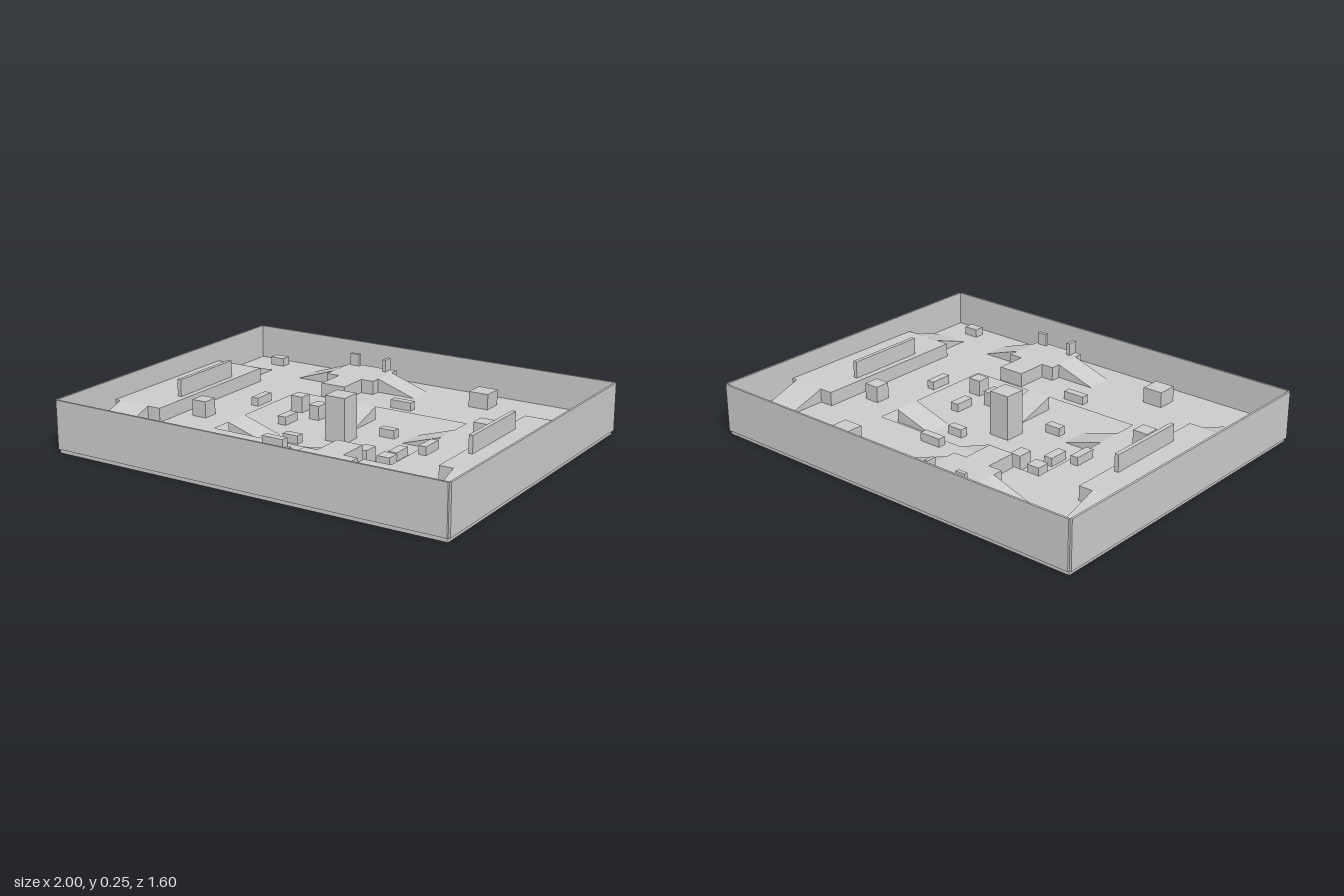
import * as THREE from 'three';

const PIT = 0.02, FLOOR = 0.083, DECK = 0.15; // heights of the three levels
const RUN = 0.2; // length of every ramp
const material = new THREE.MeshStandardMaterial({ color: 0xcccccc, flatShading: true });

function add(parent, name, geometry) {
  const mesh = new THREE.Mesh(geometry, material);
  mesh.name = name;
  parent.add(mesh);
  return mesh;
}

// Box given by its centre on the ground plan, its plan size and its bottom and top
function block(parent, name, x, z, w, d, y0, y1) {
  add(parent, name, new THREE.BoxGeometry(w, y1 - y0, d)).position.set(x, (y0 + y1) / 2, z);
}

// Wedge with its high edge at (x, z), going down along +x turned by angle
function ramp(parent, name, x, z, width, y0, y1, angle) {
  const side = new THREE.Shape();
  side.moveTo(0, 0).lineTo(RUN, 0).lineTo(0, y1 - y0).closePath();
  const geometry = new THREE.ExtrudeGeometry(side, { depth: width, bevelEnabled: false });
  geometry.translate(0, 0, -width / 2);
  const mesh = add(parent, name, geometry);
  mesh.position.set(x, y0, z);
  mesh.rotation.y = angle;
}

// Flat outline on the ground plan raised from y0 to y1
function slab(parent, name, points, y0, y1, hole) {
  const toVectors = (list) => list.map(([x, z]) => new THREE.Vector2(x, -z));
  const shape = new THREE.Shape(toVectors(points));
  if (hole) shape.holes.push(new THREE.Path(toVectors(hole)));
  const geometry = new THREE.ExtrudeGeometry(shape, { depth: y1 - y0, bevelEnabled: false });
  geometry.rotateX(-Math.PI / 2);
  add(parent, name, geometry).position.y = y0;
}

const rectangle = (x, z) => [[-x, -z], [x, -z], [x, z], [-x, z]];

// One half of the arena; the other half is the same turned by 180 degrees
function createHalf() {
  const half = new THREE.Group();

  // Outer walls
  block(half, 'backWall', 0, -0.795, 1.98, 0.01, PIT, 0.25);
  block(half, 'sideWall', -0.995, 0, 0.01, 1.58, PIT, 0.25);

  // Raised side deck with a ramp at each end and a screen wall
  block(half, 'sideDeck', -0.86, 0, 0.26, 0.8, FLOOR, DECK);
  for (const s of [-1, 1]) ramp(half, 'sideDeckRamp', -0.88, 0.4 * s, 0.165, FLOOR, DECK, -s * Math.PI / 2);
  block(half, 'screenWall', -0.77, 0, 0.02, 0.4, DECK, 0.232);

  // Lookout deck with a narrow arm to the pit, two ramps and small barriers
  slab(half, 'lookoutDeck', [
    [-0.4, -0.725], [-0.135, -0.725], [-0.135, -0.5], [-0.2, -0.5],
    [-0.2, -0.345], [-0.33, -0.345], [-0.33, -0.5], [-0.4, -0.5],
  ], FLOOR, DECK);
  ramp(half, 'lookoutRamp', -0.135, -0.615, 0.13, FLOOR, DECK, 0);
  ramp(half, 'lookoutRamp', -0.4, -0.615, 0.13, FLOOR, DECK, Math.PI);
  block(half, 'lookoutBarrier', -0.36, -0.705, 0.05, 0.018, DECK, 0.21);
  block(half, 'lookoutBarrier', -0.178, -0.7, 0.018, 0.05, DECK, 0.21);

  // Ramps down into the pit
  ramp(half, 'pitRamp', -0.085, -0.335, 0.13, PIT, FLOOR, -Math.PI / 2);
  ramp(half, 'pitRamp', -0.465, 0.165, 0.13, PIT, FLOOR, 0);

  // Crates and low cover: x, z, width, depth, ground, height
  const cover = [
    [-0.405, -0.27, 0.065, 0.065, PIT, 0.078],
    [-0.265, -0.215, 0.055, 0.075, PIT, 0.07],
    [-0.35, -0.082, 0.045, 0.1, PIT, 0.04],
    [0.165, -0.15, 0.08, 0.04, PIT, 0.04],
    [-0.513, -0.1, 0.038, 0.11, FLOOR, 0.04],
    [0.1, -0.385, 0.11, 0.038, FLOOR, 0.04],
    [0.63, -0.198, 0.075, 0.075, FLOOR, 0.078],
    [0.4, -0.627, 0.1, 0.1, FLOOR, 0.075],
    [-0.827, -0.712, 0.075, 0.05, FLOOR, 0.04],
  ];
  for (const [x, z, w, d, y, h] of cover) block(half, 'cover', x, z, w, d, y, y + h);
  return half;
}

export function createModel() {
  const arena = new THREE.Group();
  arena.name = 'arena';

  // Base plate, main floor around the sunken pit, central pillar
  block(arena, 'basePlate', 0, 0, 1.98, 1.58, 0, PIT);
  slab(arena, 'mainFloor', rectangle(0.99, 0.79), PIT, FLOOR, rectangle(0.465, 0.335));
  block(arena, 'centralPillar', 0, 0, 0.105, 0.105, PIT, 0.235);

  for (const [name, angle] of [['backHalf', 0], ['frontHalf', Math.PI]]) {
    const half = createHalf();
    half.name = name;
    half.rotation.y = angle;
    arena.add(half);
  }
  return arena;
}
